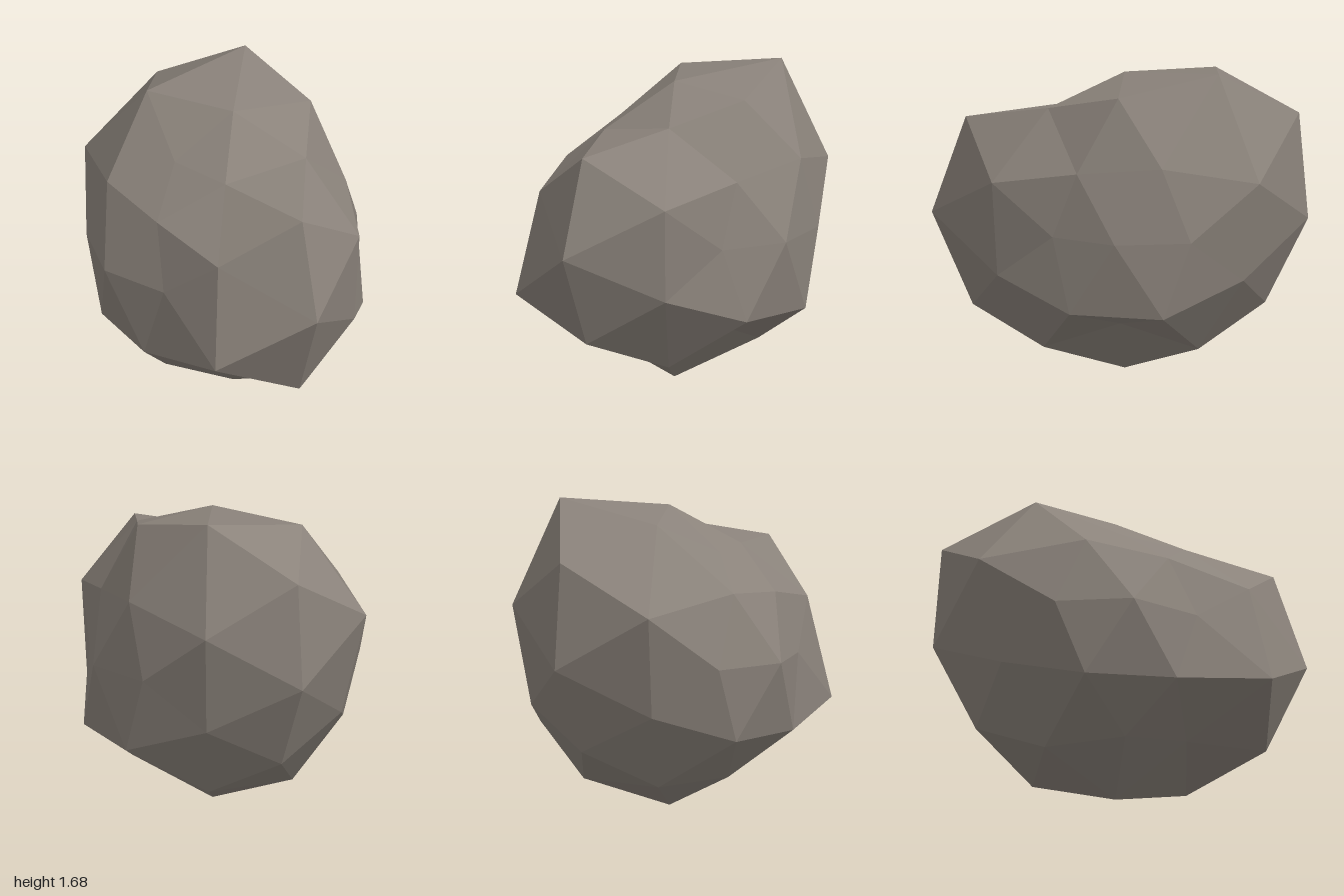
import * as THREE from 'three';

// Radius of each corner of the rock, grouped by direction.
// Within a group the order follows the signs of its axes: + before -, last axis fastest.
const RADII = {
  // straight along one axis
  x: [0.726, 0.758],
  y: [0.78, 0.83],
  z: [1.025, 0.975],
  // main corners, lying in one coordinate plane
  xy: [0.868, 0.607, 0.654, 0.757],
  xz: [0.652, 0.764, 0.687, 0.782],
  yz: [0.993, 1.09, 0.948, 0.877],
  // corners between, named by their longest axis
  nearX: [0.69, 0.8, 0.797, 0.828, 0.68, 0.775, 0.795, 0.807],
  nearY: [0.779, 1.049, 0.823, 0.82, 0.685, 0.925, 0.705, 0.822],
  nearZ: [0.835, 0.93, 0.8, 0.818, 0.816, 0.98, 0.96, 0.82],
};

function radiusFor(dir) {
  const v = dir.toArray();
  const axes = [0, 1, 2].filter((i) => Math.abs(v[i]) > 0.01);
  const index = axes.reduce((n, i) => n * 2 + (v[i] < 0 ? 1 : 0), 0);
  let key = axes.map((i) => 'xyz'[i]).join('');
  if (axes.length === 3) {
    const size = v.map(Math.abs);
    key = 'near' + 'XYZ'[size.indexOf(Math.max(...size))];
  }
  return RADII[key][index];
}

export function createModel() {
  const group = new THREE.Group();
  group.name = 'rock';

  const stone = new THREE.MeshStandardMaterial({ color: 0x8b837b });
  stone.name = 'warm grey stone';
  stone.flatShading = true;

  // Faceted boulder: a subdivided icosahedron with its corners pushed in and out
  const geometry = new THREE.IcosahedronGeometry(1, 1);
  const position = geometry.attributes.position;
  const p = new THREE.Vector3();
  for (let i = 0; i < position.count; i++) {
    p.fromBufferAttribute(position, i).normalize();
    p.multiplyScalar(radiusFor(p));
    position.setXYZ(i, p.x, p.y, p.z);
  }
  geometry.translate(0.016, 0.83, -0.025);
  geometry.computeVertexNormals();

  const boulder = new THREE.Mesh(geometry, stone);
  boulder.name = 'boulder';
  group.add(boulder);
  return group;
}
